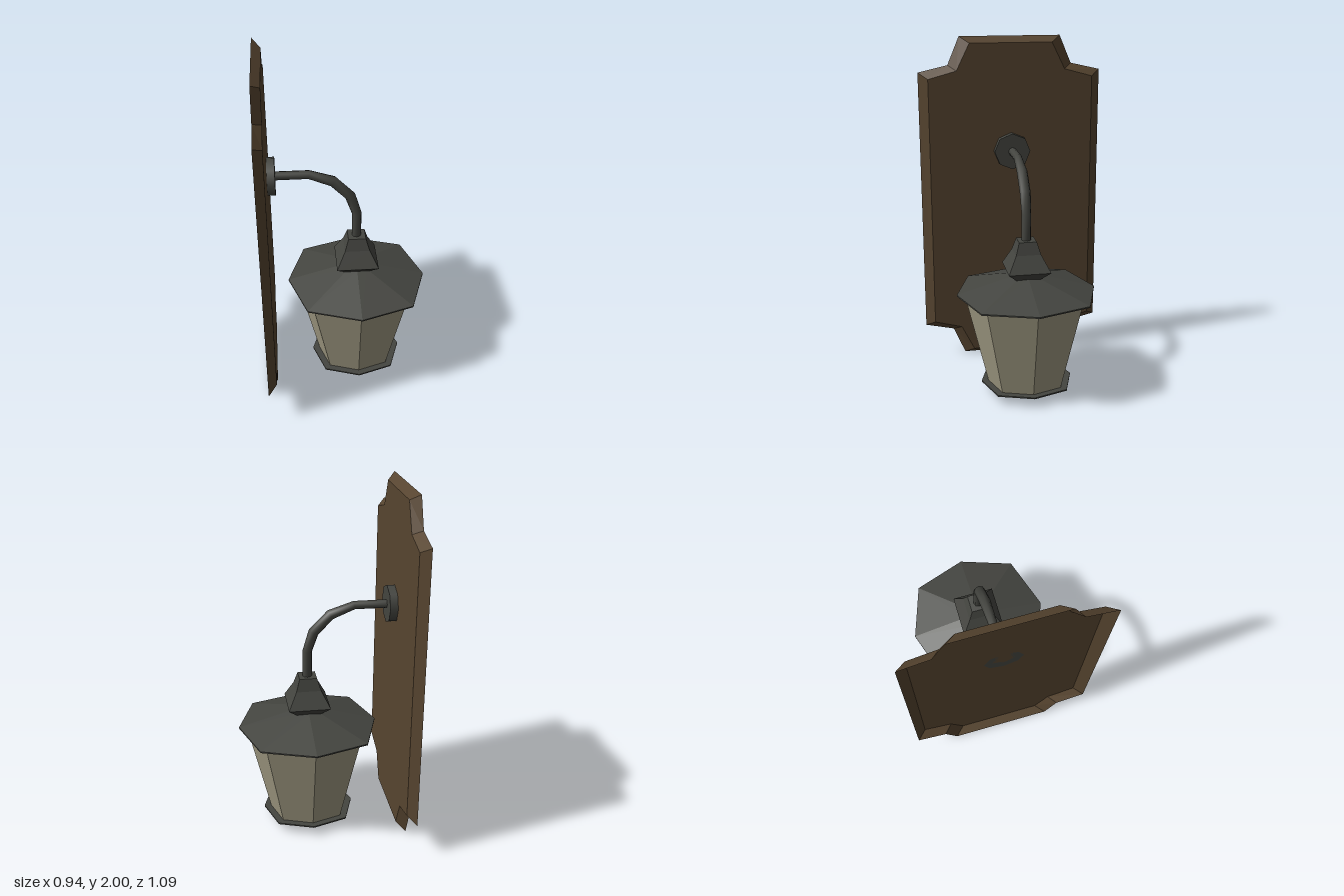
import * as THREE from 'three';
import { mergeVertices } from 'three/addons/utils/BufferGeometryUtils.js';

const CX = 0.07; // lantern axis

// Faceted skin through a list of equal-length rings (counter-clockwise about the travel axis)
function loft(rings, capStart, capEnd) {
  const pos = [];
  const tri = (...pts) => pts.forEach((p) => pos.push(p.x, p.y, p.z));
  const n = rings[0].length;
  for (let i = 0; i < rings.length - 1; i++) {
    for (let j = 0; j < n; j++) {
      const k = (j + 1) % n;
      const a = rings[i][j], b = rings[i][k], c = rings[i + 1][k], d = rings[i + 1][j];
      tri(a, b, c);
      tri(a, c, d);
    }
  }
  const cap = (ring, flip) => {
    const m = new THREE.Vector3();
    ring.forEach((p) => m.addScaledVector(p, 1 / n));
    ring.forEach((p, j) => {
      const q = ring[(j + 1) % n];
      flip ? tri(m, q, p) : tri(m, p, q);
    });
  };
  if (capStart) cap(rings[0], true);
  if (capEnd) cap(rings[rings.length - 1], false);
  const g = new THREE.BufferGeometry();
  g.setAttribute('position', new THREE.Float32BufferAttribute(pos, 3));
  g.computeVertexNormals();
  return g;
}

// Horizontal octagon: points on the axes at r, diagonal corners at 0.75 r
function octagon([r, y]) {
  return Array.from({ length: 8 }, (_, i) => {
    const a = (i * Math.PI) / 4;
    const s = i % 2 ? 0.75 * r * Math.SQRT2 : r;
    return new THREE.Vector3(CX + s * Math.cos(a), y, -s * Math.sin(a));
  });
}

// Horizontal square of half width h
function square([h, y]) {
  return [[1, 1], [1, -1], [-1, -1], [-1, 1]].map(([x, z]) => new THREE.Vector3(CX + x * h, y, z * h));
}

// Notched plaque outline from one mirrored quarter of [z, height above the middle]
function plaque(x, quarter) {
  const back = [...quarter].reverse();
  return [
    ...quarter.map(([z, h]) => [z, h]),
    ...back.map(([z, h]) => [z, -h]),
    ...quarter.map(([z, h]) => [-z, -h]),
    ...back.map(([z, h]) => [-z, h]),
  ].map(([z, h]) => new THREE.Vector3(x, 1 + h, z));
}

// Mitred octagonal rings along a path of [x, y, radius]
function armRings(path) {
  const pts = path.map(([x, y]) => new THREE.Vector2(x, y));
  const last = pts.length - 1;
  const direction = (i) => pts[i].clone().sub(pts[i - 1]).normalize();
  return pts.map((p, i) => {
    const t = direction(Math.max(i, 1)).add(direction(Math.min(i + 1, last))).normalize();
    const radius = path[i][2];
    return Array.from({ length: 8 }, (_, j) => {
      const a = (j * Math.PI) / 4;
      const u = radius * Math.cos(a);
      return new THREE.Vector3(p.x - t.y * u, p.y + t.x * u, radius * Math.sin(a));
    });
  });
}

export function createModel() {
  const wood = new THREE.MeshStandardMaterial({ color: 0x574530, side: THREE.DoubleSide });
  wood.name = 'dark wood';
  const metal = new THREE.MeshStandardMaterial({ color: 0x444540 });
  metal.name = 'dark iron';
  const glass = new THREE.MeshStandardMaterial({ color: 0xa39d85 });
  glass.name = 'frosted glass';

  const group = new THREE.Group();
  group.name = 'wallLantern';
  const add = (name, geometry, material) => {
    const mesh = new THREE.Mesh(geometry, material);
    mesh.name = name;
    group.add(mesh);
    return mesh;
  };

  // Bevelled wall plaque, open at the back
  add('wallPlaque', loft([
    plaque(-0.47, [[0.3, 1], [0.37, 0.835], [0.545, 0.795]]),
    plaque(-0.422, [[0.245, 0.963], [0.323, 0.805], [0.49, 0.76]]),
  ], false, true), wood);

  // Round mount
  const mount = add('armMount', new THREE.CylinderGeometry(0.108, 0.108, 0.044, 8), metal);
  mount.rotation.z = -Math.PI / 2;
  mount.position.set(-0.4, 1.325, 0);

  // Bent arm with smooth sides
  const arm = loft(armRings([
    [-0.38, 1.325, 0.025], [-0.195, 1.325, 0.025], [-0.063, 1.276, 0.031],
    [0.033, 1.177, 0.031], [CX, 1.062, 0.027], [CX, 0.9, 0.027],
  ]), false, false);
  arm.deleteAttribute('normal');
  const smoothArm = mergeVertices(arm, 1e-4);
  smoothArm.computeVertexNormals();
  add('arm', smoothArm, metal);

  // Square flared collar
  add('collar', loft([[0.07, 0.697], [0.12, 0.747], [0.071, 0.843], [0.05, 0.913]].map(square), false, true), metal);

  // Eight-sided roof, glass and base
  add('roof', loft([[0.4, 0.6], [0.4, 0.608], [0.075, 0.702]].map(octagon), true, true), metal);
  add('lampGlass', loft([[0.225, 0.058], [0.355, 0.602]].map(octagon), false, false), glass);
  add('base', loft([[0.004, 0.001], [0.265, 0.054], [0.265, 0.062]].map(octagon), true, true), metal);

  return group;
}
